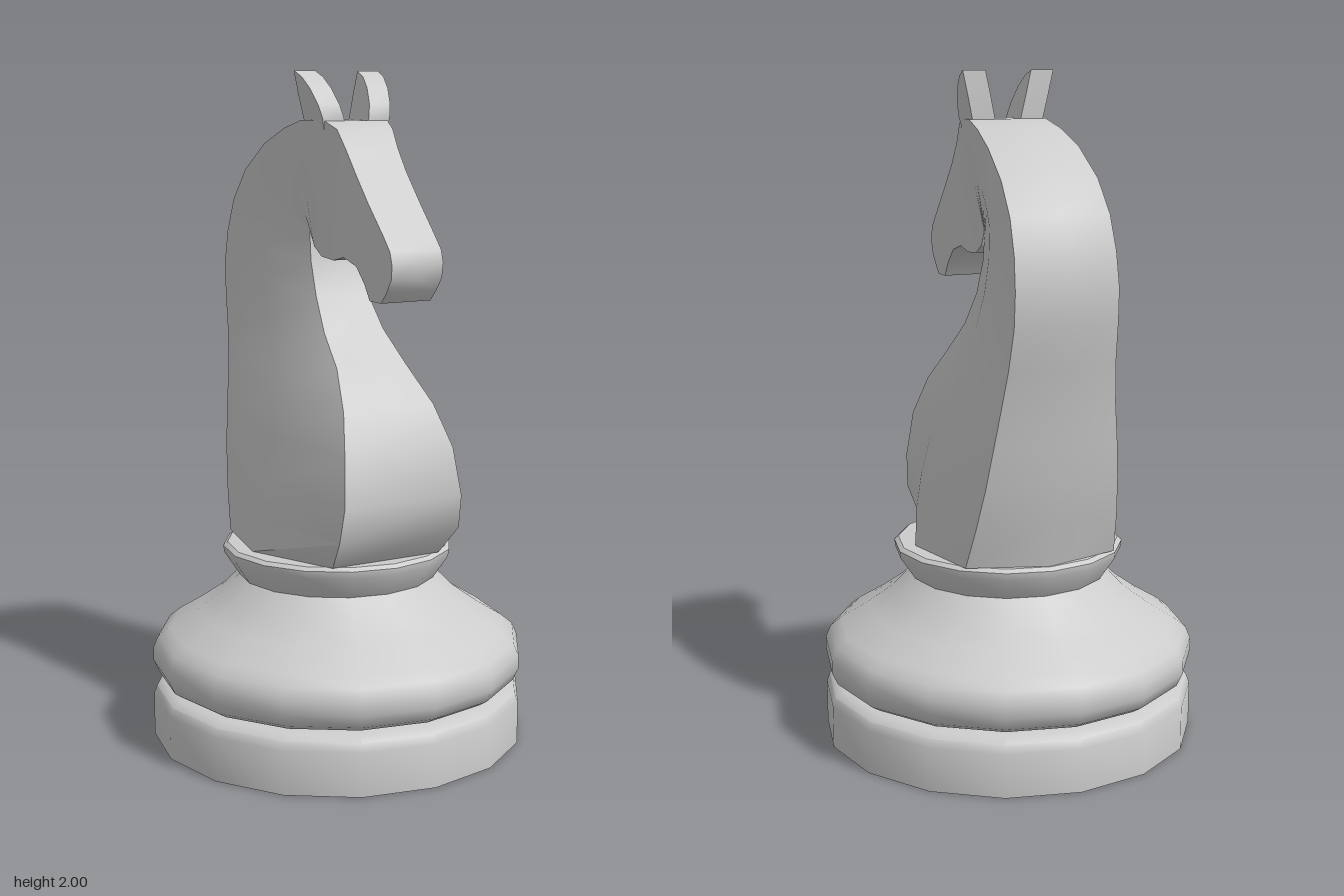
import * as THREE from 'three';
import { toCreasedNormals } from 'three/addons/utils/BufferGeometryUtils.js';

const material = new THREE.MeshStandardMaterial({ color: 0xcccccc });

function part(name, geometry, crease = 0.55) {
  const mesh = new THREE.Mesh(toCreasedNormals(geometry, crease), material);
  mesh.name = name;
  return mesh;
}

// Skins a stack of closed loops and caps both ends.
function loft(loops) {
  const positions = [];
  const tri = (a, b, c) => positions.push(...a, ...b, ...c);
  const n = loops[0].length;
  for (let s = 0; s < loops.length - 1; s++) {
    for (let i = 0; i < n; i++) {
      const j = (i + 1) % n;
      const a = loops[s][i], b = loops[s][j], c = loops[s + 1][j], d = loops[s + 1][i];
      tri(a, b, c);
      tri(a, c, d);
    }
  }
  const first = loops[0], last = loops[loops.length - 1];
  for (let i = 1; i < n - 1; i++) {
    tri(first[0], first[i + 1], first[i]);
    tri(last[0], last[i], last[i + 1]);
  }
  const geometry = new THREE.BufferGeometry();
  geometry.setAttribute('position', new THREE.Float32BufferAttribute(positions, 3));
  return geometry;
}

// One cross-section: front edge, bulging flank, back corner and central ridge.
function section([fz, fy, fw, bz, by, bw, inset, mw]) {
  const length = Math.hypot(fz - bz, fy - by);
  const k = inset / length;
  const cz = bz + (fz - bz) * k, cy = by + (fy - by) * k;
  const mz = fz + (bz - fz) * 0.45, my = fy + (by - fy) * 0.45;
  return [
    [fw, fy, fz], [mw, my, mz], [bw, cy, cz], [0, by, bz],
    [-bw, cy, cz], [-mw, my, mz], [-fw, fy, fz],
  ];
}

// Front z, y, half width; back z, y, half width; ridge inset; flank half width.
const neckSections = [
  [0.29, 0.6, 0.18, -0.33, 0.6, 0.235, 0.07, 0.295],
  [0.365, 0.69, 0.2, -0.358, 0.73, 0.22, 0.05, 0.28],
  [0.385, 0.79, 0.195, -0.378, 0.85, 0.205, 0.035, 0.262],
  [0.36, 0.93, 0.18, -0.397, 0.97, 0.19, 0.03, 0.235],
  [0.3, 1.05, 0.15, -0.415, 1.08, 0.175, 0.03, 0.208],
  [0.2, 1.16, 0.115, -0.44, 1.2, 0.162, 0.03, 0.175],
  [0.1, 1.25, 0.1, -0.465, 1.32, 0.156, 0.03, 0.16],
  [0.03, 1.35, 0.088, -0.471, 1.42, 0.155, 0.03, 0.15],
  [-0.01, 1.45, 0.083, -0.455, 1.52, 0.152, 0.03, 0.142],
  [-0.02, 1.53, 0.081, -0.415, 1.62, 0.149, 0.028, 0.135],
  [-0.021, 1.54, 0.081, -0.335, 1.72, 0.145, 0.025, 0.13],
  [-0.02, 1.55, 0.081, -0.21, 1.805, 0.138, 0.02, 0.122],
  [-0.018, 1.545, 0.081, -0.09, 1.848, 0.128, 0.012, 0.115],
  [-0.013, 1.53, 0.081, 0, 1.86, 0.12, 0, 0.107],
];
// The head carries on along the jaw below and the brow above, as far as the nose.
const headSections = [
  [0.005, 1.495, 0.081, 0.11, 1.858, 0.105, 0, 0.096],
  [0.05, 1.468, 0.081, 0.16, 1.835, 0.092, 0, 0.088],
  [0.12, 1.462, 0.081, 0.2, 1.78, 0.086, 0, 0.084],
  [0.18, 1.475, 0.081, 0.25, 1.715, 0.084, 0, 0.083],
  [0.25, 1.455, 0.081, 0.32, 1.635, 0.084, 0, 0.083],
  [0.295, 1.41, 0.081, 0.4, 1.55, 0.083, 0, 0.082],
  [0.325, 1.365, 0.081, 0.435, 1.51, 0.083, 0, 0.082],
  [0.385, 1.364, 0.081, 0.446, 1.475, 0.083, 0, 0.082],
  [0.415, 1.395, 0.081, 0.442, 1.435, 0.082, 0, 0.082],
];

// Ear cut from a side outline, leaning outwards as it rises.
function ear(side) {
  const outline = [[0, 1.83], [0.105, 1.83], [0.112, 1.865], [0.1, 1.905],
    [0.07, 1.95], [0.035, 1.982], [-0.005, 2], [-0.005, 1.93]];
  const shape = new THREE.Shape(outline.map(([z, y]) => new THREE.Vector2(-z, y)));
  const geometry = new THREE.ExtrudeGeometry(shape, { depth: 0.07, bevelEnabled: false });
  geometry.rotateY(Math.PI / 2);
  const p = geometry.attributes.position;
  for (let i = 0; i < p.count; i++) {
    const lean = 0.04 + (p.getY(i) - 1.86) * 0.22;
    p.setX(i, p.getX(i) + (side > 0 ? lean : -lean - 0.07));
  }
  return part(side > 0 ? 'leftEar' : 'rightEar', geometry);
}

export function createModel() {
  const model = new THREE.Group();
  model.name = 'horseChessPiece';

  // Turned sixteen-sided foot, rounded ring and collar
  const profile = [
    [0, 0], [0.565, 0], [0.565, 0.13], [0.555, 0.155], [0.53, 0.17], [0.49, 0.174],
    [0.52, 0.18], [0.548, 0.198], [0.565, 0.235], [0.565, 0.275], [0.55, 0.31],
    [0.515, 0.338], [0.43, 0.39], [0.36, 0.44], [0.3, 0.5],
    [0.345, 0.568], [0.348, 0.59], [0.335, 0.6], [0, 0.6],
  ].map(([r, y]) => new THREE.Vector2(r, y));
  model.add(part('base', new THREE.LatheGeometry(profile, 16), 0.65));

  // Neck and head in one continuous skin
  model.add(part('neckAndHead', loft([...neckSections, ...headSections].map(section))));

  model.add(ear(1), ear(-1));
  return model;
}
